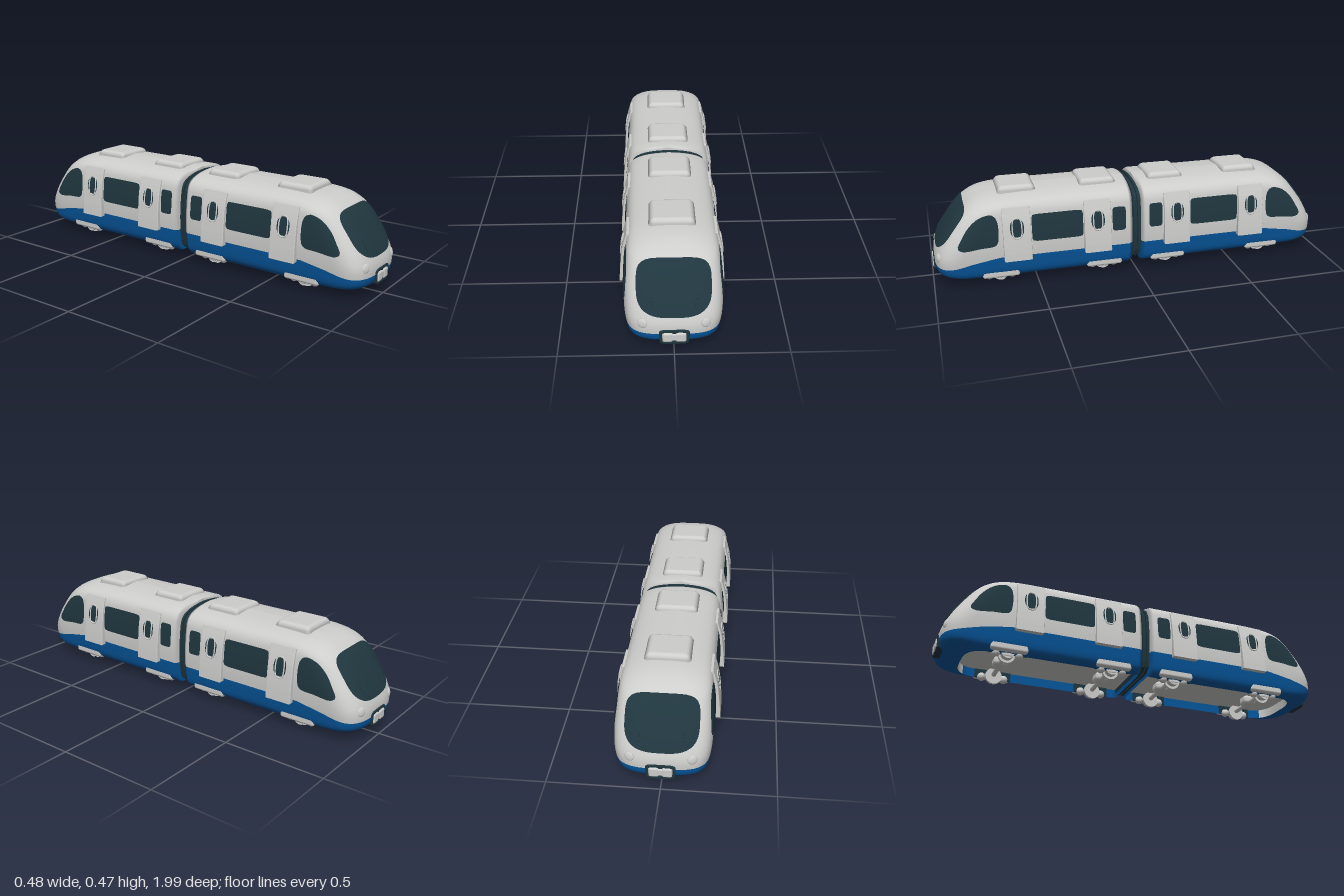
import * as THREE from 'three';
import { RoundedBoxGeometry } from 'three/addons/geometries/RoundedBoxGeometry.js';

const mat = (name, color, side = THREE.FrontSide) => {
  const m = new THREE.MeshStandardMaterial({ color, side });
  m.name = name;
  return m;
};

// Body profile rows: height, half width, nose z
const ROWS = [
  [0.037, 0.163, 0.87], [0.047, 0.182, 0.938], [0.06, 0.195, 0.969], [0.08, 0.203, 0.983], [0.11, 0.208, 0.987],
  [0.15, 0.213, 0.985], [0.20, 0.215, 0.966], [0.25, 0.214, 0.938], [0.30, 0.210, 0.905], [0.35, 0.204, 0.867],
  [0.39, 0.195, 0.825], [0.42, 0.170, 0.778], [0.44, 0.118, 0.71], [0.449, 0.06, 0.61], [0.453, 0, 0.50]];
const BOTTOM = ROWS[0][0], TOP = ROWS[ROWS.length - 1][0], REAR = 0.025, FLOOR = 0.082, POWER = 3.4;

// Smooth cubic lookup in the profile rows
function look(y, col) {
  const last = ROWS.length - 1;
  y = THREE.MathUtils.clamp(y, BOTTOM, TOP);
  let i = 0;
  while (i < last - 1 && y > ROWS[i + 1][0]) i++;
  const slope = k => {
    const a = ROWS[Math.max(k - 1, 0)], b = ROWS[Math.min(k + 1, last)];
    return (b[col] - a[col]) / (b[0] - a[0]);
  };
  const h = ROWS[i + 1][0] - ROWS[i][0], t = (y - ROWS[i][0]) / h, t2 = t * t, t3 = t2 * t;
  return (2 * t3 - 3 * t2 + 1) * ROWS[i][col] + (t3 - 2 * t2 + t) * h * slope(i)
    + (3 * t2 - 2 * t3) * ROWS[i + 1][col] + (t3 - t2) * h * slope(i + 1);
}
const halfWidth = y => Math.max(0, look(y, 1));
const noseLen = y => 0.17 + 0.1 * THREE.MathUtils.smoothstep(y, 0.37, TOP);
const arc = t => (1 - Math.min(1, Math.abs(t)) ** POWER) ** (1 / POWER);
const frontZ = (x, y) => look(y, 2) - noseLen(y) * (1 - arc(x / halfWidth(y)));
const sideX = (z, y) => {
  const L = noseLen(y);
  return halfWidth(y) * arc(Math.max(0, z - look(y, 2) + L) / L);
};

// Plan columns from the rear centre round one side to the nose and back
const STRAIGHT = 6, ARC = 18, HALF = 2 + STRAIGHT + ARC;
function planPoint(c, y) {
  const side = c <= HALF ? 1 : -1, k = side > 0 ? c : 2 * HALF - c;
  const w = halfWidth(y), L = noseLen(y), zc = look(y, 2) - L;
  if (k < 2) return [side * k * w * 0.96, 0.24 + (y - 0.24) * 0.975, REAR];
  if (k <= 2 + STRAIGHT) return [side * w, y, THREE.MathUtils.lerp(0.04, zc, (k - 2) / STRAIGHT)];
  const a = (k - 2 - STRAIGHT) / ARC * Math.PI / 2;
  return [side * w * Math.max(0, Math.cos(a)) ** (2 / POWER), y, zc + L * Math.sin(a) ** (2 / POWER)];
}

function indexed(pos, idx) {
  const g = new THREE.BufferGeometry();
  g.setAttribute('position', new THREE.Float32BufferAttribute(pos, 3));
  g.setIndex(idx);
  g.computeVertexNormals();
  return g;
}

// Shell of one car: blue skirt below the belt line, white above
function shellGeometry() {
  const cols = 2 * HALF + 1, low = 12, high = 26, pos = [], idx = [];
  for (let j = 0; j <= low + high; j++) for (let c = 0; c < cols; c++) {
    const z = planPoint(c, 0.15)[2];
    const belt = 0.155 - 0.048 * THREE.MathUtils.smoothstep(z, 0.68, 0.96);
    const y = j <= low ? THREE.MathUtils.lerp(BOTTOM, belt, (j / low) ** 1.5)
      : THREE.MathUtils.lerp(belt, TOP, Math.sin((j - low) / high * Math.PI / 2));
    pos.push(...planPoint(c, y));
  }
  for (let j = 0; j < low + high; j++) for (let c = 0; c < cols - 1; c++) {
    const a = j * cols + c, b = a + 1, u = a + cols, d = u + 1;
    idx.push(a, u, b, b, u, d);
  }
  const g = indexed(pos, idx), split = low * (cols - 1) * 6;
  g.addGroup(0, split, 0);
  g.addGroup(split, idx.length - split, 1);
  return g;
}

// Inside of the skirt, between two plan columns
function innerWall(from, to) {
  const pos = [], idx = [];
  for (let c = from; c <= to; c++) {
    const [x, , z] = planPoint(c, BOTTOM), i = (c - from) * 2;
    pos.push(x, BOTTOM, z, x, FLOOR, z);
    if (c < to) idx.push(i, i + 2, i + 1, i + 1, i + 2, i + 3);
  }
  return indexed(pos, idx);
}

// Thin pane: a 2D outline filled with rings and laid on a surface
function patch(outline, map) {
  const n = outline.length, rings = 6, pos = [], idx = [];
  const cx = outline.reduce((s, p) => s + p.x, 0) / n, cy = outline.reduce((s, p) => s + p.y, 0) / n;
  for (let r = 0; r <= rings; r++) for (const p of outline)
    pos.push(...map(cx + (p.x - cx) * r / rings, cy + (p.y - cy) * r / rings));
  for (let r = 0; r < rings; r++) for (let i = 0; i < n; i++) {
    const a = r * n + i, b = r * n + (i + 1) % n;
    if (r > 0) idx.push(a, a + n, b);
    idx.push(b, a + n, b + n);
  }
  return indexed(pos, idx);
}
// Rounded rectangle; e sets squareness, eLow that of the lower half
function roundRect(x0, x1, y0, y1, e = 9, eLow = e) {
  return Array.from({ length: 56 }, (_, i) => {
    const a = i / 56 * Math.PI * 2, c = Math.cos(a), s = Math.sin(a), n = s < 0 ? eLow : e;
    const r = (Math.abs(c) ** n + Math.abs(s) ** n) ** (-1 / n);
    return new THREE.Vector2((x0 + x1) / 2 + c * r * (x1 - x0) / 2, (y0 + y1) / 2 + s * r * (y1 - y0) / 2);
  });
}

export function createModel() {
  const white = mat('off white', 0xcdcecc), blue = mat('blue', 0x05559a);
  const dark = mat('dark glass', 0x20363e, THREE.DoubleSide);
  const model = new THREE.Group();
  const add = (parent, name, geo, m, x = 0, y = 0, z = 0) => {
    const mesh = new THREE.Mesh(geo, m);
    mesh.name = name;
    mesh.position.set(x, y, z);
    parent.add(mesh);
    return mesh;
  };
  const v2 = (x, y) => new THREE.Vector2(x, y);
  const box = (w, h, d, r) => new RoundedBoxGeometry(w, h, d, 3, r);
  const cyl = (r, len) => new THREE.CylinderGeometry(r, r, len, 24).rotateZ(Math.PI / 2);

  const cabWindow = new THREE.CatmullRomCurve3([[0.69, 0.235], [0.69, 0.35], [0.715, 0.374], [0.77, 0.362],
    [0.82, 0.322], [0.86, 0.262], [0.878, 0.222], [0.86, 0.208], [0.77, 0.214], [0.705, 0.22]]
    .map(p => new THREE.Vector3(...p, 0)), true).getSpacedPoints(48).slice(0, -1);
  const doorLine = new THREE.SplineCurve([v2(0.235, 0.142), v2(0.232, 0.2), v2(0.222, 0.3),
    v2(0.212, 0.35), v2(0.199, 0.396)]).getPoints(12);
  const doorX = y => {
    const i = Math.max(1, doorLine.findIndex(p => p.y >= y)), a = doorLine[i - 1], b = doorLine[i];
    return a.x + (b.x - a.x) * (y - a.y) / (b.y - a.y);
  };
  // Roof unit with sloping sides
  const roofUnit = box(0.205, 0.05, 0.185, 0.02), rp = roofUnit.attributes.position;
  for (let i = 0; i < rp.count; i++) {
    const k = 1 - 3.5 * rp.getY(i);
    rp.setXYZ(i, rp.getX(i) * k, rp.getY(i), rp.getZ(i) * k);
  }

  function car(name) {
    const g = new THREE.Group();
    g.name = name;
    add(g, 'bodyShell', shellGeometry(), [blue, white]);

    // Recessed underside
    const plan = Array.from({ length: 2 * HALF }, (_, c) => planPoint(c, BOTTOM)).map(p => v2(p[0], p[2]));
    add(g, 'floor', new THREE.ShapeGeometry(new THREE.Shape(plan)).rotateX(Math.PI / 2), white, 0, FLOOR, 0);
    const nose = HALF - 10;
    add(g, 'skirtInside', innerWall(0, nose), blue);
    add(g, 'noseInside', innerWall(nose, 2 * HALF - nose), white);
    add(g, 'skirtInside', innerWall(2 * HALF - nose, 2 * HALF), blue);

    // Windscreen, wipers, lamps and coupler
    add(g, 'windscreen', patch(roundRect(-0.16, 0.16, 0.185, 0.39, 4.2, 2.9),
      (x, y) => [x, y + 0.001, frontZ(x, y) + 0.004]), dark);
    for (const s of [-1, 1]) {
      const wiper = add(g, 'wiper', box(0.007, 0.06, 0.006, 0.002), dark, s * 0.095, 0.25, frontZ(0.095, 0.25) + 0.005);
      wiper.rotation.set(-0.6, 0, s * -0.1);
      const lamp = add(g, 'headlamp', new THREE.SphereGeometry(0.022, 20, 14), white, s * 0.135, 0.155, frontZ(0.135, 0.155) - 0.002);
      lamp.scale.z = 0.32;
      lamp.rotation.set(-0.15, s * 0.35, 0);
      add(g, 'couplerJaw', box(0.046, 0.05, 0.04, 0.01), white, s * 0.029, 0.092, 0.977);
    }
    const taper = p => v2(p.x * (0.93 + (p.y - 0.058)), p.y);
    const frame = new THREE.Shape(roundRect(-0.064, 0.064, 0.058, 0.128, 6).map(taper));
    frame.holes.push(new THREE.Path(roundRect(-0.056, 0.056, 0.066, 0.12, 6).map(taper)));
    add(g, 'couplerFrame', new THREE.ExtrudeGeometry(frame, { depth: 0.045, bevelSize: 0.003, bevelThickness: 0.003, bevelSegments: 2 }), dark, 0, 0, 0.944);
    add(g, 'couplerRecess', new THREE.BoxGeometry(0.108, 0.058, 0.03), dark, 0, 0.093, 0.974);
    add(g, 'couplerBar', box(0.09, 0.036, 0.03, 0.006), white, 0, 0.092, 0.98);

    for (const z of [0.175, 0.575]) add(g, 'roofUnit', roofUnit, white, 0, 0.445, z);

    for (const s of [-1, 1]) {
      // Side glazing
      const onSide = (z, y) => [s * (sideX(z, y) + 0.004), y, z];
      add(g, 'cabSideWindow', patch(cabWindow, onSide), dark);
      add(g, 'saloonWindow', patch(roundRect(0.275, 0.525, 0.225, 0.36, 14), onSide), dark);
      add(g, 'rearWindow', patch(roundRect(0.06, 0.128, 0.235, 0.355, 7), onSide), dark);

      // Doors, standing proud of the sides
      for (const z of [0.203, 0.597]) {
        const section = [v2(0.18, 0.142), ...doorLine, v2(0.17, 0.396)].map(p => v2(s * p.x, p.y));
        add(g, 'door', new THREE.ExtrudeGeometry(new THREE.Shape(section),
          { depth: 0.126, bevelSize: 0.003, bevelThickness: 0.004, bevelSegments: 2 }), white, 0, 0, z - 0.063);
        const onDoor = (u, y) => [s * (doorX(y) + 0.005), y, z + u];
        const pane = roundRect(-0.033, 0.033, 0.26, 0.346, 2.6);
        add(g, 'doorWindow', patch(pane, onDoor), dark);
        const ring = roundRect(-0.023, 0.023, 0.253, 0.351, 3).map(p => new THREE.Vector3(...onDoor(p.x, p.y)));
        add(g, 'doorWindowRim', new THREE.TubeGeometry(new THREE.CatmullRomCurve3(ring, true), 56, 0.0035, 8, true), white);
      }

      // Wheels, side frames and axle boxes
      for (const z of [0.165, 0.68]) {
        add(g, 'wheelArchInside', new THREE.BoxGeometry(0.006, 0.044, 0.18), dark, s * 0.158, 0.06, z);
        add(g, 'wheelFlange', cyl(0.041, 0.012), white, s * 0.134, 0.045, z);
        add(g, 'wheelTread', cyl(0.031, 0.034), white, s * 0.152, 0.047, z);
        add(g, 'bogieFrame', box(0.036, 0.044, 0.18, 0.012), white, s * 0.183, 0.064, z);
        add(g, 'axleBox', box(0.026, 0.036, 0.05, 0.01), white, s * 0.158, 0.04, z);
        for (const d of [-0.055, 0.055])
          add(g, 'spring', new THREE.SphereGeometry(0.021, 16, 12), white, s * 0.155, 0.042, z + d);
      }
    }
    for (const z of [0.165, 0.68]) {
      add(g, 'axle', cyl(0.012, 0.27), white, 0, 0.052, z);
      add(g, 'gearCase', box(0.075, 0.05, 0.07, 0.02), white, 0, 0.063, z);
    }
    model.add(g);
    return g;
  }

  car('frontCar');
  car('rearCar').rotation.y = Math.PI;

  // Pleated gangway between the cars
  const half = Array.from({ length: 25 }, (_, i) => BOTTOM + (TOP - BOTTOM) * Math.sin(i / 24 * Math.PI / 2));
  const ring = [...half.map(y => v2(halfWidth(y), y - 0.24)), ...half.reverse().slice(1).map(y => v2(-halfWidth(y), y - 0.24))];
  const bellows = new THREE.Group();
  bellows.name = 'gangway';
  [-0.022, -0.011, 0, 0.011, 0.022].forEach((z, i) => {
    const k = i % 2 ? 0.93 : 0.88;
    add(bellows, 'pleat', new THREE.ExtrudeGeometry(new THREE.Shape(ring.map(p => v2(p.x * k, p.y * k))),
      { depth: 0.011, bevelEnabled: false }), dark, 0, 0.24, z - 0.0055);
  });
  model.add(bellows);
  return model;
}
